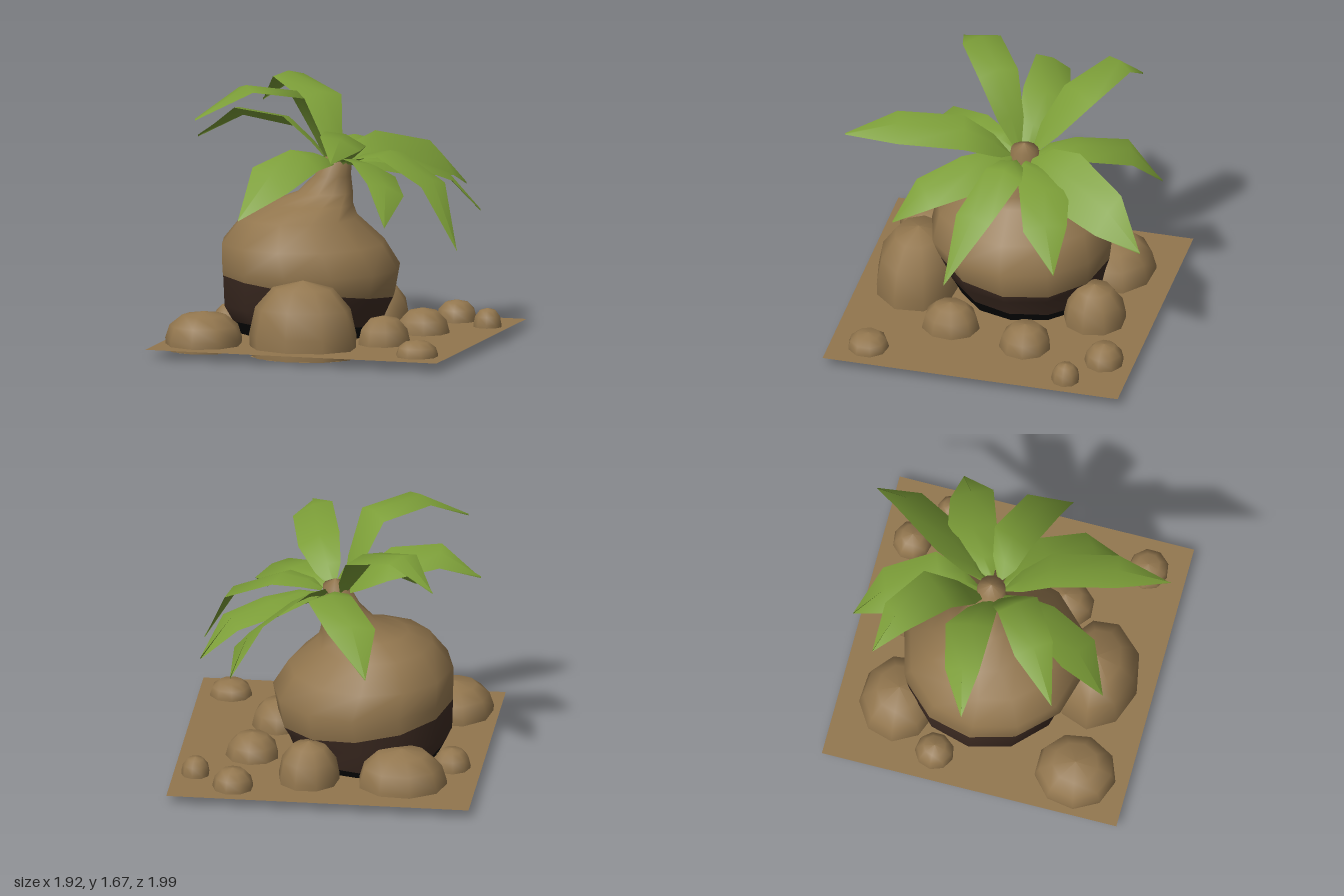
import * as THREE from 'three';

const mat = (name, color, side = THREE.FrontSide) => {
  const m = new THREE.MeshStandardMaterial({ color, side });
  m.name = name;
  return m;
};

export function createModel() {
  const brown = mat('earth brown', 0x92764e, THREE.DoubleSide);
  const dark = mat('dark bark', 0x3d2b22);
  const black = mat('black hollow', 0x060606);
  const green = mat('leaf green', 0x7c9e38, THREE.DoubleSide);

  const model = new THREE.Group();
  model.name = 'bulbPlant';
  const add = (name, geometry, material, parent = model) => {
    const mesh = new THREE.Mesh(geometry, material);
    mesh.name = name;
    parent.add(mesh);
    return mesh;
  };

  // Ground: a thin square of earth
  const ground = add('ground', new THREE.PlaneGeometry(1.92, 1.92), brown);
  ground.rotation.x = -Math.PI / 2;
  ground.position.y = 0.06;

  // Swollen trunk: rings of [y, xMin, xMax, zMin, zMax, tilt along x, tilt along z]
  const rings = [
    [0.02, -0.2, -0.2, -0.1, -0.1],
    [0.02, -0.63, 0.22, -0.51, 0.33],
    [0.13, -0.69, 0.27, -0.55, 0.4, 0, 0.05],
    [0.24, -0.745, 0.325, -0.58, 0.46],
    [0.35, -0.75, 0.36, -0.61, 0.5, -0.11, 0.06],
    [0.48, -0.75, 0.395, -0.63, 0.54],
    [0.64, -0.75, 0.295, -0.575, 0.51],
    [0.80, -0.62, 0.115, -0.44, 0.38],
    [0.88, -0.47, 0.09, -0.31, 0.18],
    [0.95, -0.28, 0.08, -0.26, 0.06],
    [1.06, -0.17, 0.065, -0.22, 0.01],
    [1.20, -0.09, 0.07, -0.19, -0.02],
    [1.24, -0.01, -0.01, -0.105, -0.105],
  ];
  const sides = 12;
  const pos = [], idx = [];
  for (const [y, x0, x1, z0, z1, tiltX = 0, tiltZ = 0] of rings) {
    for (let i = 0; i < sides; i++) {
      const a = (i / sides) * Math.PI * 2;
      const x = (x0 + x1) / 2 + Math.cos(a) * (x1 - x0) / 2;
      const z = (z0 + z1) / 2 + Math.sin(a) * (z1 - z0) / 2;
      pos.push(x, y + tiltX * x + tiltZ * z, z);
    }
  }
  for (let r = 0; r < rings.length - 1; r++) {
    for (let i = 0; i < sides; i++) {
      const a = r * sides + i, b = r * sides + (i + 1) % sides;
      idx.push(a, a + sides, b, b, a + sides, b + sides);
    }
  }
  const trunk = new THREE.BufferGeometry();
  trunk.setAttribute('position', new THREE.Float32BufferAttribute(pos, 3));
  trunk.setIndex(idx);
  trunk.computeVertexNormals();
  const perRing = sides * 6;
  trunk.addGroup(0, perRing * 2, 0);
  trunk.addGroup(perRing * 2, perRing * 2, 1);
  trunk.addGroup(perRing * 4, perRing * (rings.length - 5), 2);
  add('trunk', trunk, [black, dark, brown]);

  // Boulders: [x, z, radiusX, radiusZ, base, top], rounded domes with dark hollow bottoms
  const profile = [[0.98, 0], [1, 0.28], [0.89, 0.63], [0.56, 0.9], [0, 1]]
    .map(([x, y]) => new THREE.Vector2(x, y));
  const dome = new THREE.LatheGeometry(profile, 9);
  // the flat bottom lines up with the dome's corners
  const rim = new THREE.RingGeometry(0.85, 0.98, 9).rotateX(Math.PI / 2).rotateY(Math.PI / 2);
  const hollow = new THREE.CircleGeometry(0.85, 9).rotateX(Math.PI / 2).rotateY(Math.PI / 2);
  const boulders = [
    [-0.68, 0.62, 0.245, 0.26, 0.03, 0.27],
    [-0.035, 0.59, 0.35, 0.27, 0.005, 0.49],
    [0.755, 0.715, 0.135, 0.13, 0.04, 0.165],
    [0.4, 0.27, 0.165, 0.185, 0.01, 0.24],
    [0.5, -0.24, 0.17, 0.165, 0.01, 0.22],
    [0.82, -0.585, 0.09, 0.09, 0.04, 0.18],
    [0.56, -0.77, 0.13, 0.125, 0.03, 0.195],
    [0.1, -0.59, 0.195, 0.2, 0.01, 0.325],
    [-0.49, -0.58, 0.285, 0.25, 0.0, 0.3],
    [-0.77, -0.275, 0.12, 0.125, 0.03, 0.19],
  ];
  boulders.forEach(([x, z, rx, rz, base, top], i) => {
    const g = new THREE.Group();
    g.name = 'boulder' + (i + 1);
    g.position.set(x, base, z);
    g.scale.set(rx, top - base, rz);
    const spin = new THREE.Group();
    spin.name = 'boulderShape';
    spin.rotation.y = i * 1.3;
    g.add(spin);
    add('boulderDome', dome, brown, spin);
    add('boulderRim', rim, brown, spin);
    add('boulderHollow', hollow, black, spin);
    model.add(g);
  });

  // Leaves: arched blades, [shoulder, width], [bend, width], tip, roll (raises one edge)
  const leaves = [
    [[-0.36, 1.40, -0.16], 0.3, [-0.68, 1.45, -0.12], 0.22, [-0.93, 1.27, -0.06], -0.05],
    [[-0.22, 1.53, -0.4], 0.3, [-0.5, 1.62, -0.6], 0.23, [-0.7, 1.42, -0.7], 0],
    [[-0.02, 1.26, -0.45], 0.29, [-0.19, 1.18, -0.75], 0.31, [-0.3, 0.9, -0.93], 0],
    [[-0.22, 1.61, 0.12], 0.27, [-0.5, 1.66, 0.3], 0.26, [-0.78, 1.46, 0.49], 0],
    [[0.23, 1.19, -0.42], 0.29, [0.46, 1.11, -0.77], 0.23, [0.55, 0.9, -1], -0.12],
    [[0.36, 1.15, -0.33], 0.32, [0.62, 1.05, -0.4], 0.28, [0.8, 0.81, -0.5], 0],
    [[0.34, 1.23, -0.06], 0.27, [0.66, 1.07, 0.06], 0.25, [0.86, 0.66, 0.2], 0],
    [[0.14, 1.37, 0.25], 0.26, [0.23, 1.4, 0.66], 0.25, [0.27, 1.3, 0.99], 0.05],
    [[0.3, 1.17, 0.17], 0.29, [0.46, 1.08, 0.43], 0.24, [0.51, 0.85, 0.62], 0.05],
    [[-0.13, 1.22, 0.25], 0.25, [-0.27, 1.13, 0.53], 0.31, [-0.42, 0.87, 0.73], 0.06],
  ];
  leaves.forEach(([shoulder, w1, bend, w2, tip, roll], i) => {
    const dir = new THREE.Vector3(tip[0], 0, tip[2] + 0.1).normalize();
    const root = [dir.x * 0.08, 1.15, dir.z * 0.08 - 0.1];
    const base = root.map((v, k) => v + (shoulder[k] - v) * 0.36 + (k === 1 ? 0.02 : 0));
    const stations = [[root, 0.04], [base, w1 * 0.64], [shoulder, w1], [bend, w2], [tip, 0]];
    const p = [], f = [];
    stations.forEach(([c, w], s) => {
      // one edge, raised midrib, other edge
      for (const k of [-1, 0, 1]) {
        const lift = k === 0 ? 0.012 : (k * roll / 0.28 - 0.07) * w;
        p.push(c[0] - dir.z * k * w / 2, c[1] + lift, c[2] + dir.x * k * w / 2);
      }
      if (s === stations.length - 1) return;
      for (const e of [0, 1]) {
        const a = s * 3 + e;
        f.push(a, a + 1, a + 3, a + 1, a + 4, a + 3);
      }
    });
    const blade = new THREE.BufferGeometry();
    blade.setAttribute('position', new THREE.Float32BufferAttribute(p, 3));
    blade.setIndex(f);
    blade.computeVertexNormals();
    // keep the upper face pointing up
    if (blade.attributes.normal.getY(7) < 0) {
      blade.setIndex(f.reverse());
      blade.computeVertexNormals();
    }
    add('leaf' + (i + 1), blade, green);
  });

  return model;
}
